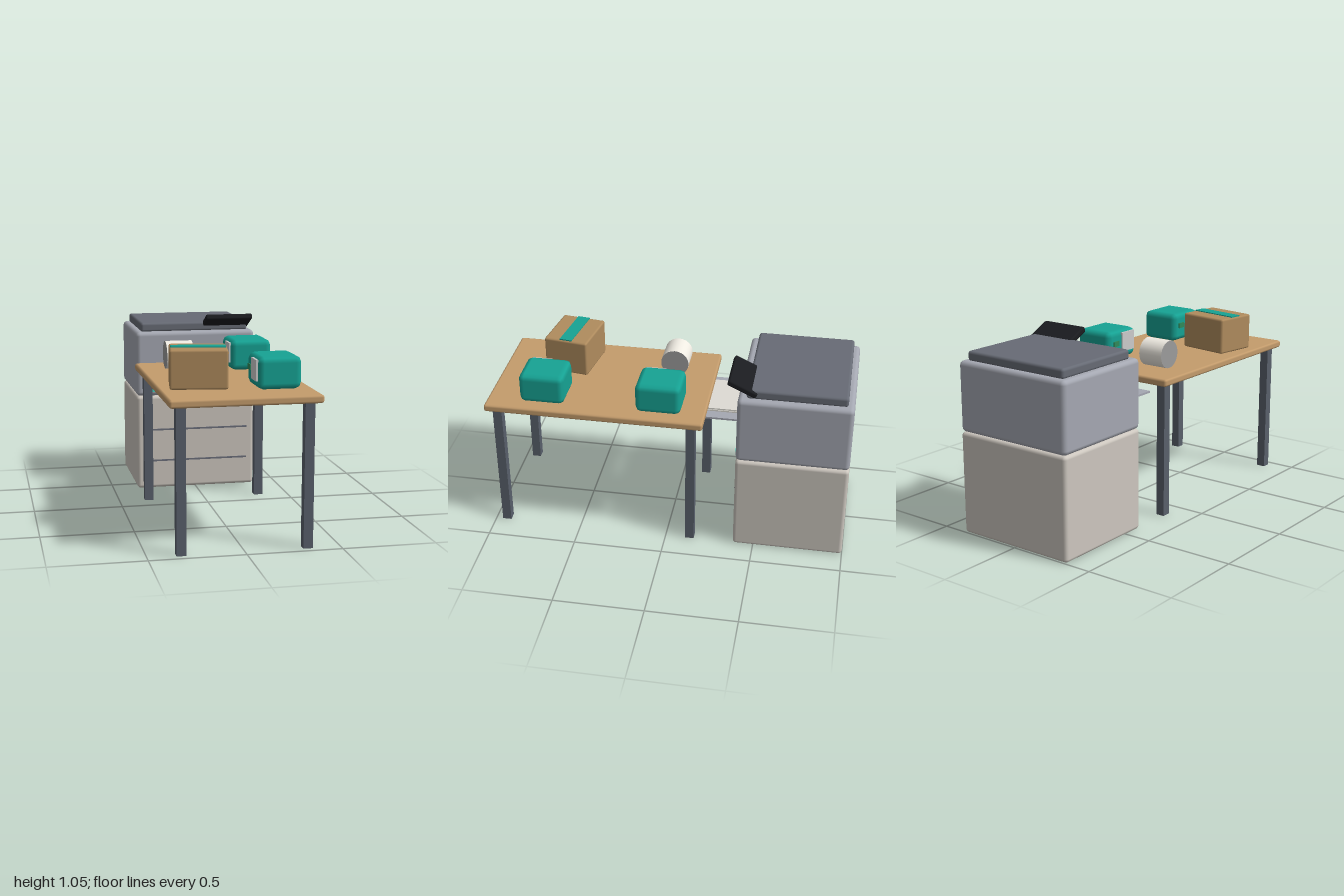
import * as THREE from 'three';
import { RoundedBoxGeometry } from 'three/addons/geometries/RoundedBoxGeometry.js';

const mat = (color) => new THREE.MeshStandardMaterial({ color });
const wood = mat(0xc49c6c), steel = mat(0x59606b), cardboard = mat(0xb08c5e), teal = mat(0x16a394);
const brightTeal = mat(0x3fcdbd), shell = mat(0xa5a8b2), cabinet = mat(0xcdc7bf), lidGrey = mat(0x676b75);
const black = mat(0x1b1c20), slot = mat(0x6b6e7a), paper = mat(0xdedbd4), white = mat(0xefebe2);
const endGrey = mat(0x9c9c9c), green = mat(0x2f8a5a), label = mat(0xc4c4c0);

function add(parent, name, geometry, material, x, y, z) {
  const mesh = new THREE.Mesh(geometry, material);
  mesh.name = name;
  mesh.position.set(x, y, z);
  parent.add(mesh);
  return mesh;
}

// Box given by its min and max corners; r > 0 bevels the edges
function box(parent, name, material, [x0, y0, z0], [x1, y1, z1], r = 0, seg = 2) {
  const w = x1 - x0, h = y1 - y0, d = z1 - z0;
  const geometry = r ? new RoundedBoxGeometry(w, h, d, seg, r) : new THREE.BoxGeometry(w, h, d);
  return add(parent, name, geometry, material, (x0 + x1) / 2, (y0 + y1) / 2, (z0 + z1) / 2);
}

function group(parent, name) {
  const g = new THREE.Group();
  g.name = name;
  parent.add(g);
  return g;
}

function buildTable(root) {
  const table = group(root, 'table');
  box(table, 'tableTop', wood, [-0.39, 0.755, -0.207], [0.39, 0.797, 1], 0.013, 1);
  for (const x of [-0.327, 0.327])
    for (const z of [-0.137, 0.937])
      box(table, 'tableLeg', steel, [x - 0.025, 0, z - 0.025], [x + 0.025, 0.757, z + 0.025]);
}

function buildCopier(root) {
  const copier = group(root, 'copier');
  box(copier, 'cabinet', cabinet, [-0.355, 0, -1], [0.36, 0.566, -0.385], 0.02);
  box(copier, 'upperBody', shell, [-0.355, 0.566, -1], [0.36, 0.95, -0.385], 0.025);
  box(copier, 'scannerLid', lidGrey, [-0.32, 0.945, -0.965], [0.325, 1, -0.43], 0.015);
  // Drawer gaps and light band on the front
  for (const y of [0.17, 0.36])
    box(copier, 'drawerGap', slot, [-0.315, y - 0.005, -0.39], [0.315, y + 0.005, -0.381]);
  box(copier, 'frontBand', brightTeal, [-0.32, 0.59, -0.39], [0.32, 0.616, -0.381]);
  // Output tray with a stack of sheets
  box(copier, 'outputTray', shell, [-0.265, 0.701, -0.39], [0.17, 0.712, -0.177]);
  box(copier, 'paper', paper, [-0.202, 0.712, -0.39], [0.106, 0.72, -0.195]);
  box(copier, 'paper', paper, [-0.202, 0.723, -0.39], [0.106, 0.731, -0.195]);
  // Tilted control panel
  const panel = add(copier, 'controlPanel', new RoundedBoxGeometry(0.28, 0.033, 0.168, 2, 0.01),
    black, 0.196, 1.005, -0.408);
  panel.rotation.x = -0.44;
}

// Rounded container with a label and a tab on its right side
function buildContainer(root, z) {
  const g = group(root, 'container');
  g.position.set(0.211, 0.797, z);
  box(g, 'containerBody', teal, [-0.115, 0, -0.125], [0.115, 0.168, 0.125], 0.032, 1);
  box(g, 'containerLabel', label, [-0.122, 0.042, -0.01], [-0.11, 0.152, 0.1]);
  box(g, 'containerTab', green, [-0.122, 0.08, -0.085], [-0.11, 0.11, -0.035]);
}

function buildCarton(root) {
  const carton = group(root, 'carton');
  carton.position.set(-0.175, 0.797, 0.613);
  carton.rotation.y = -0.145;
  box(carton, 'cartonBody', cardboard, [-0.15, 0, -0.126], [0.15, 0.204, 0.126], 0.012, 1);
  box(carton, 'tape', teal, [-0.142, 0.2, -0.035], [0.142, 0.209, 0.035]);
}

function buildRoll(root) {
  const roll = add(root, 'paperRoll', new THREE.CylinderGeometry(0.078, 0.078, 0.15, 24),
    [white, endGrey, endGrey], -0.175, 0.875, 0.023);
  roll.rotation.z = Math.PI / 2;
}

export function createModel() {
  const root = new THREE.Group();
  root.name = 'officeSet';
  buildTable(root);
  buildCopier(root);
  for (const z of [0.047, 0.689]) buildContainer(root, z);
  buildCarton(root);
  buildRoll(root);
  return root;
}
